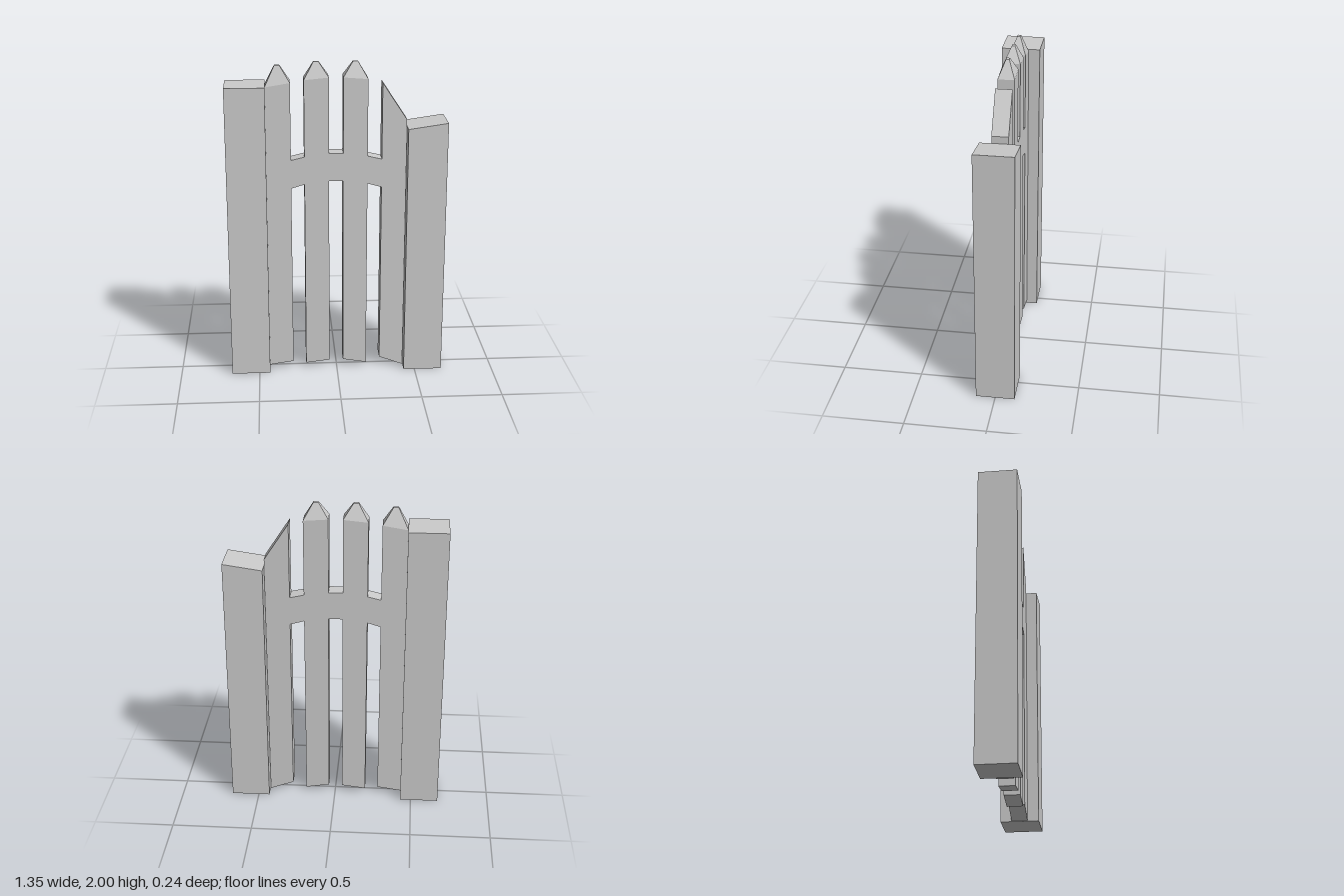
import * as THREE from 'three';

const material = new THREE.MeshStandardMaterial({ color: 0xcccccc, flatShading: true });

// Box whose bottom and top edges slope from left to right; topX / topZ may taper the top
function slab(name, [x0, x1], [b0, b1], [t0, t1], hz, topX = [x0, x1], topZ = hz) {
  const geometry = new THREE.BoxGeometry(2, 2, 2);
  const p = geometry.attributes.position;
  for (let i = 0; i < p.count; i++) {
    const side = p.getX(i) > 0 ? 1 : 0;
    const top = p.getY(i) > 0;
    p.setXYZ(i,
      top ? topX[side] : [x0, x1][side],
      top ? [t0, t1][side] : [b0, b1][side],
      Math.sign(p.getZ(i)) * (top ? topZ : hz));
  }
  geometry.computeVertexNormals();
  const mesh = new THREE.Mesh(geometry, material);
  mesh.name = name;
  return mesh;
}

export function createModel() {
  const group = new THREE.Group();
  group.name = 'picketGate';
  const hz = 0.05;

  // Heavy side posts, one of them shorter with a sloping top
  group.add(slab('rightPost', [-0.675, -0.432], [0, 0], [1.867, 1.867], 0.12));
  group.add(slab('leftPost', [0.43, 0.673], [0, 0], [1.602, 1.637], 0.12));

  // Pickets: x range, bottom edge, shoulder edge, tip height (none on the broken one)
  const pickets = [
    { x: [-0.433, -0.28], bottom: [0.023, 0.045], top: [1.855, 1.88], tip: 1.98 },
    { x: [-0.198, -0.047], bottom: [0.03, 0.048], top: [1.896, 1.91], tip: 2 },
    { x: [0.04, 0.19], bottom: [0.05, 0.024], top: [1.91, 1.898], tip: 2 },
    { x: [0.277, 0.428], bottom: [0.06, 0.003], top: [1.875, 1.645] },
  ];
  pickets.forEach(({ x, bottom, top, tip }, i) => {
    group.add(slab(`picket${i + 1}`, x, bottom, top, hz));
    if (!tip) return;
    const cx = (x[0] + x[1]) / 2;
    group.add(slab(`picketTip${i + 1}`, x, top, [tip, tip], hz, [cx - 0.015, cx + 0.015], 0.01));
  });

  // Arched cross rail filling the gaps between pickets
  const rails = [
    [[1.22, 1.245], [1.4, 1.42]],
    [[1.265, 1.265], [1.44, 1.44]],
    [[1.245, 1.22], [1.42, 1.4]],
  ];
  rails.forEach(([bottom, top], i) => {
    group.add(slab(`rail${i + 1}`, [pickets[i].x[1], pickets[i + 1].x[0]], bottom, top, hz));
  });

  return group;
}
